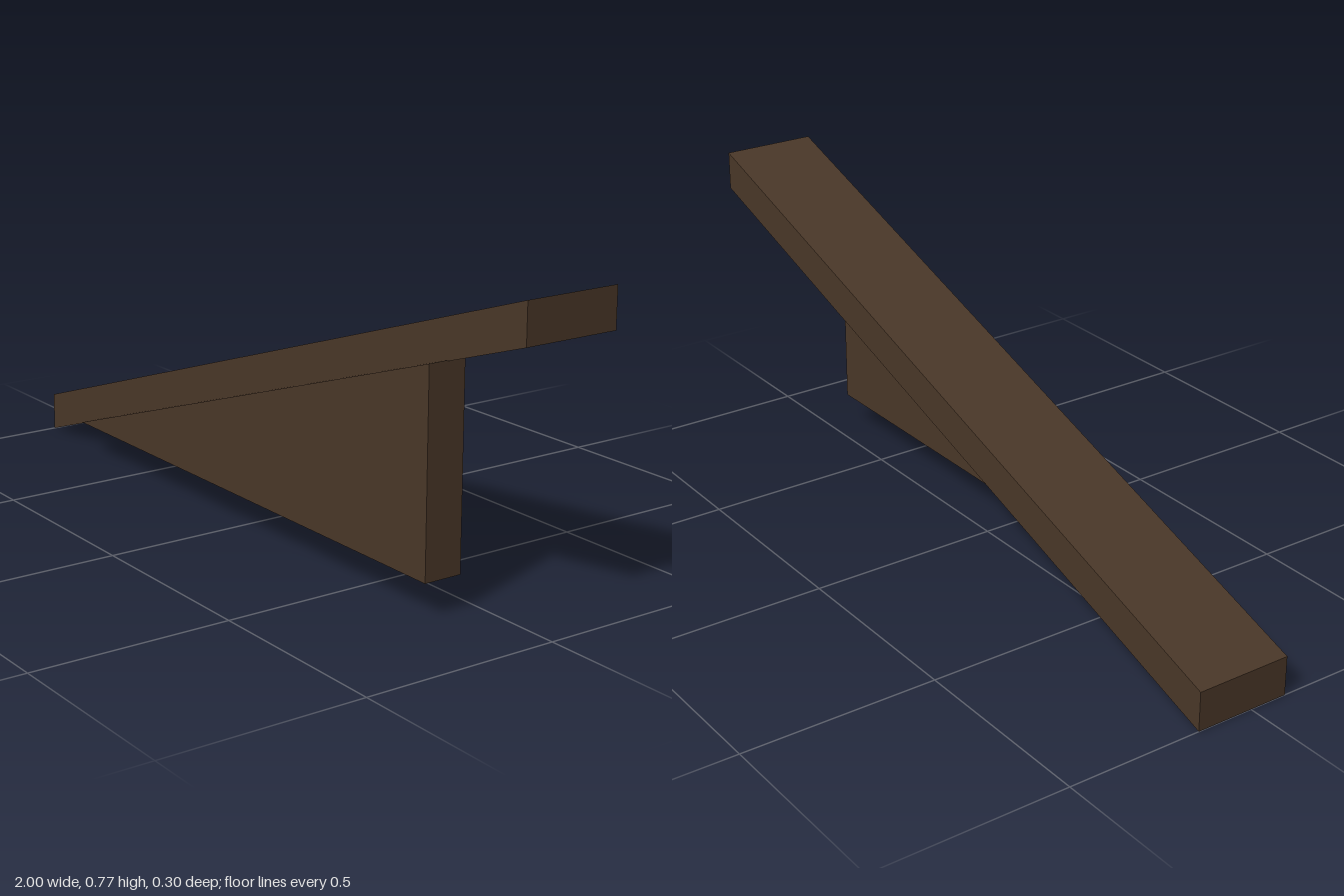
import * as THREE from 'three';

// Extrudes an x/y outline between two z depths
function slab(name, points, zBack, zFront, material) {
  const shape = new THREE.Shape(points.map(([x, y]) => new THREE.Vector2(x, y)));
  const geometry = new THREE.ExtrudeGeometry(shape, { depth: zFront - zBack, bevelEnabled: false });
  geometry.translate(0, 0, zBack);
  const mesh = new THREE.Mesh(geometry, material);
  mesh.name = name;
  return mesh;
}

export function createModel() {
  const group = new THREE.Group();
  group.name = 'slopedPlankWithBracket';

  const wood = new THREE.MeshStandardMaterial({ color: 0x4a3728 });
  wood.name = 'darkWood';

  // Sloping plank with vertical cut ends
  group.add(slab('plank', [[-1, 0], [1, 0.667], [1, 0.767], [-1, 0.1]], -0.15, 0.1, wood));

  // Triangular bracket below, standing proud of the front edge
  group.add(slab('bracket', [[-0.75, 0.087], [0.75, 0.087], [0.75, 0.586]], 0.05, 0.15, wood));

  return group;
}
